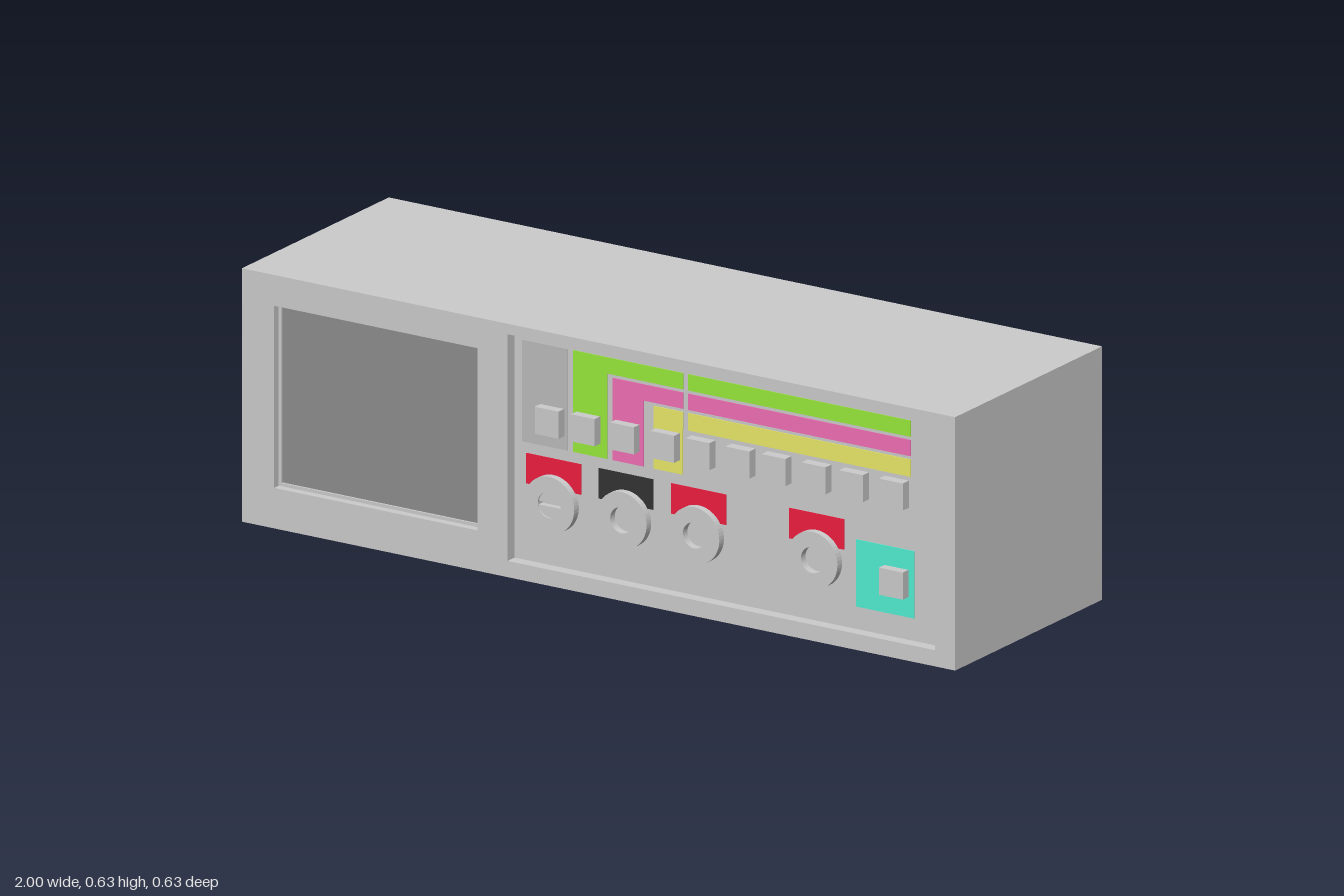
import * as THREE from 'three';

const W = 2, H = 0.626, D = 0.626;
const RECESS = 0.03;
const FRONT = D / 2;
const FLOOR = FRONT - RECESS; // surface of the recessed control panel

const mat = (color = 0xcccccc) => new THREE.MeshStandardMaterial({ color });
const GREY = mat(), GREEN = mat(0x97e83a), PINK = mat(0xf06eb4), YELLOW = mat(0xe8e868);
const RED = mat(0xee1d40), BLACK = mat(0x333333), TEAL = mat(0x51eed1);
const DARK = mat(0x8c8c8c), SHADE = mat(0xbababa);

// Outline through a list of [x, y] corners
const outline = (pts, Type = THREE.Shape) => new Type(pts.map(([x, y]) => new THREE.Vector2(x, y)));
const rect = (x0, x1, y0, y1) => [[x0, y0], [x1, y0], [x1, y1], [x0, y1]];

export function createModel() {
  const model = new THREE.Group();

  const add = (name, geometry, material, x = 0, y = 0, z = 0) => {
    const mesh = new THREE.Mesh(geometry, material);
    mesh.name = name;
    mesh.position.set(x, y, z);
    model.add(mesh);
    return mesh;
  };
  const plate = (name, shape, material, depth, z) =>
    add(name, new THREE.ExtrudeGeometry(shape, { depth, bevelEnabled: false, curveSegments: 24 }), material, 0, 0, z);

  // Case, with a front frame that opens onto the screen and the control panel
  add('case', new THREE.BoxGeometry(W, H, D - RECESS), GREY, 0, H / 2, -RECESS / 2);
  const frame = outline(rect(-W / 2, W / 2, 0, H));
  frame.holes.push(
    outline(rect(-0.91, -0.34, 0.10, 0.55), THREE.Path),
    outline(rect(-0.255, 0.943, 0.04, 0.60), THREE.Path));
  plate('frontFrame', frame, GREY, RECESS, FLOOR);

  // Display with a thin rim
  const rim = outline(rect(-0.91, -0.34, 0.10, 0.55));
  rim.holes.push(outline(rect(-0.902, -0.348, 0.108, 0.542), THREE.Path));
  plate('screenRim', rim, GREY, 0.01, FLOOR);
  plate('screen', outline(rect(-0.902, -0.348, 0.108, 0.542)), DARK, 0.005, FLOOR);

  // Printed colour fields: a column bent into a bar, then the bar's continuation
  const ink = (name, pts, material) => plate(name, outline(pts), material, 0.002, FLOOR);
  ink('modeField', rect(-0.233, -0.107, 0.332, 0.583), SHADE);
  const fields = [
    ['green', GREEN, -0.09, 0.005, 0.583, 0.543],
    ['pink', PINK, 0.021, 0.107, 0.535, 0.495],
    ['yellow', YELLOW, 0.136, 0.217, 0.487, 0.444],
  ];
  for (const [name, material, x0, x1, top, bottom] of fields) {
    ink(name + 'Field', [[x0, 0.332], [x1, 0.332], [x1, bottom], [0.219, bottom], [0.219, top], [x0, top]], material);
    ink(name + 'Bar', rect(0.233, 0.856, bottom, top), material);
  }
  ink('powerField', rect(0.703, 0.866, 0.096, 0.262), TEAL);

  // Push buttons
  const buttonGeometry = new THREE.BoxGeometry(0.067, 0.067, 0.026);
  const button = (name, x, y) => add(name, buttonGeometry, GREY, x, y, FLOOR + 0.013);
  for (const x of [-0.148, -0.047, 0.063, 0.176, 0.275, 0.387, 0.488, 0.6, 0.705, 0.817]) {
    button('rangeButton', x, 0.4);
  }
  button('powerButton', 0.817, 0.18);

  // Input sockets, each with a coloured label behind it
  const ring = new THREE.Shape().absarc(0, 0, 0.07, 0, Math.PI * 2);
  ring.holes.push(new THREE.Path().absarc(0, 0, 0.032, 0, Math.PI * 2));
  const socketGeometry = new THREE.ExtrudeGeometry(ring, { depth: 0.02, bevelEnabled: false, curveSegments: 24 });
  const sockets = [[-0.145, RED], [0.058, BLACK], [0.262, RED], [0.593, RED]];
  for (const [x, material] of sockets) {
    ink('socketLabel', rect(x - 0.077, x + 0.077, 0.23, 0.305), material);
    add('socket', socketGeometry, GREY, x, 0.195, FLOOR);
  }

  // Slotted fuse cap in the first socket: two half discs over a recessed base
  const half = new THREE.Shape().absarc(0, 0, 0.032, 0.15, Math.PI - 0.15);
  const halfGeometry = new THREE.ExtrudeGeometry(half, { depth: 0.016, bevelEnabled: false, curveSegments: 16 });
  for (const turn of [0, Math.PI]) {
    add('fuseCap', halfGeometry, GREY, sockets[0][0], 0.195, FLOOR).rotation.z = turn;
  }

  return model;
}
